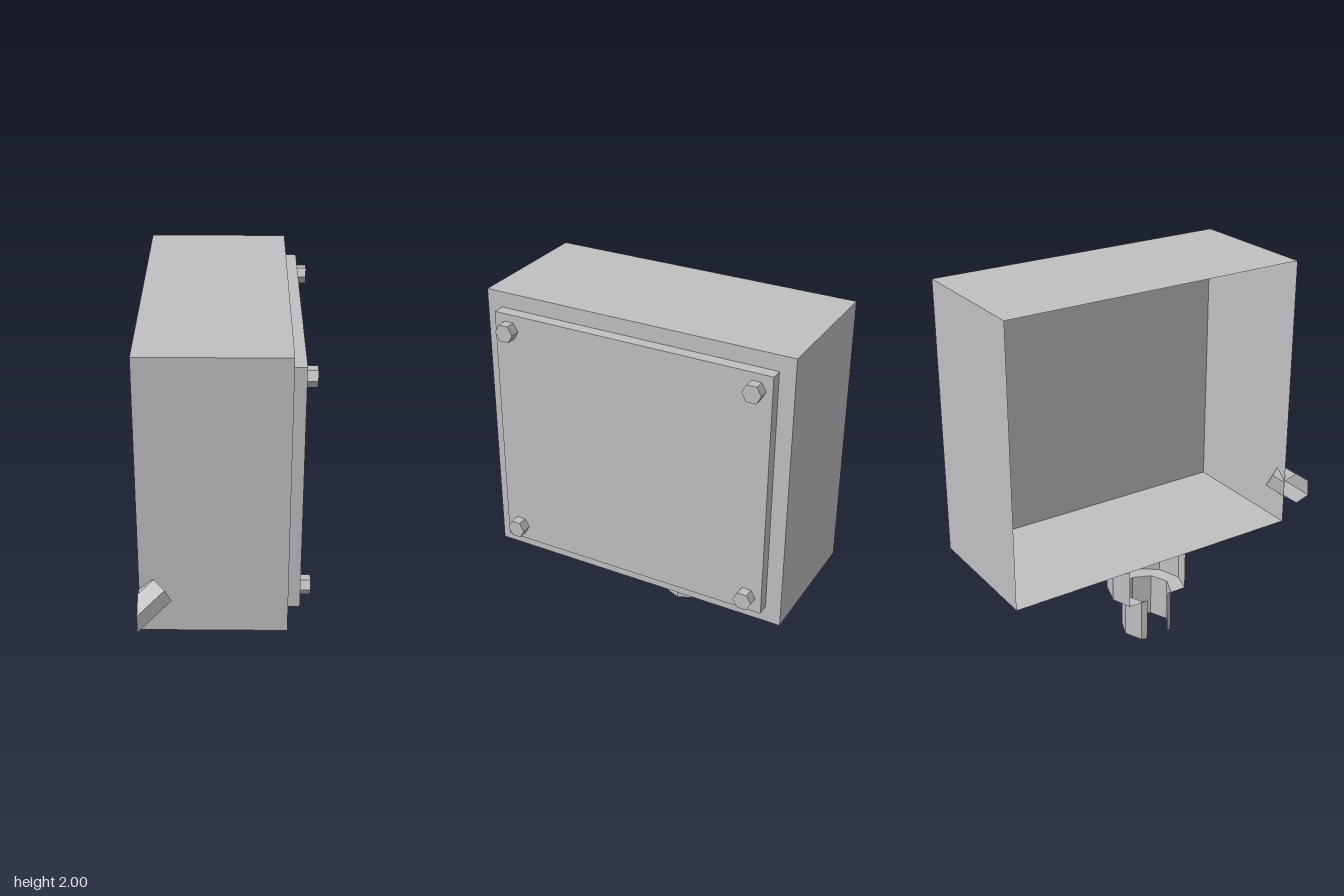
import * as THREE from 'three';

const V = (x, y, z) => new THREE.Vector3(x, y, z);
const BACK = -0.44; // plane where the box and its fittings are cut open

// Flat-shaded wall between two matching rows of points, with an optional end cap on the second
function shell(a, b, closed, cap) {
  const pts = [];
  const n = a.length;
  for (let i = 0; i < (closed ? n : n - 1); i++) {
    const j = (i + 1) % n;
    pts.push(a[i], a[j], b[j], a[i], b[j], b[i]);
  }
  if (cap) for (let i = 1; i < n - 1; i++) pts.push(b[0], b[i], b[i + 1]);
  const g = new THREE.BufferGeometry().setFromPoints(pts);
  g.computeVertexNormals();
  return g;
}

// Regular polygon outline in x and z, keeping only what lies in front of the back plane
function cutPolygon(cx, cz, r, sides, start) {
  const all = [];
  for (let i = 0; i <= sides; i++) {
    const t = start + (i / sides) * Math.PI * 2;
    all.push(new THREE.Vector2(cx + r * Math.cos(t), cz + r * Math.sin(t)));
  }
  const out = [];
  for (let i = 0; i < sides; i++) {
    const p = all[i], q = all[i + 1];
    if (p.x >= BACK) out.push(p);
    if ((p.x >= BACK) !== (q.x >= BACK)) out.push(p.clone().lerp(q, (BACK - p.x) / (q.x - p.x)));
  }
  return out;
}

export function createModel() {
  const group = new THREE.Group();
  const grey = new THREE.MeshStandardMaterial({ color: 0xc0c0c0, side: THREE.DoubleSide });
  grey.name = 'grey';
  const add = (name, geometry) => {
    const mesh = new THREE.Mesh(geometry, grey);
    mesh.name = name;
    group.add(mesh);
    return mesh;
  };

  // Housing: thin box, open at the back plane
  const ring = (x) => [V(x, 0.46, -0.96), V(x, 2, -0.96), V(x, 2, 0.77), V(x, 0.46, 0.77)];
  add('housing', shell(ring(BACK), ring(0.32), true, true));

  // Cover plate and its four hexagonal bolts
  add('coverPlate', new THREE.BoxGeometry(0.065, 1.365, 1.56)).position.set(0.3525, 1.2325, -0.095);
  const bolt = new THREE.CylinderGeometry(0.052, 0.052, 0.055, 6).toNonIndexed();
  bolt.computeVertexNormals();
  bolt.rotateZ(-Math.PI / 2);
  for (const y of [0.633, 1.828])
    for (const z of [-0.79, 0.6]) add('bolt', bolt).position.set(0.4125, y, z);

  // Bottom fitting: ten-sided collar, ledge and eight-sided pipe
  const collar = cutPolygon(-0.33, -0.095, 0.217, 10, Math.PI * 1.1);
  const pipe = cutPolygon(-0.33, -0.095, 0.1375, 8, Math.PI);
  const level = (outline, y) => outline.map((p) => V(p.x, y, p.y));
  add('collar', shell(level(collar, 0.46), level(collar, 0.245), false, false));
  add('pipe', shell(level(pipe, 0.245), level(pipe, 0), false, false));
  const ledge = new THREE.ShapeGeometry(new THREE.Shape([...collar, ...pipe.slice().reverse()]));
  ledge.rotateX(Math.PI / 2);
  add('collarLedge', ledge).position.y = 0.245;

  // Slanted hexagonal spout through the front wall, cut off at the back plane
  const axis = V(-0.707, -0.44, 0.552).normalize();
  const centre = V(-0.33, 0.712, 0.774);
  const u = V(0.057, -0.029, 0.046);
  u.addScaledVector(axis, -u.dot(axis)).setLength(0.083);
  const hexagon = Array.from({ length: 6 }, (_, i) =>
    u.clone().applyAxisAngle(axis, (i * Math.PI) / 3).add(centre));
  const cutEnd = hexagon.map((p) => p.clone().addScaledVector(axis, (BACK - p.x) / axis.x));
  add('spout', shell(cutEnd, hexagon, true, true));

  return group;
}
